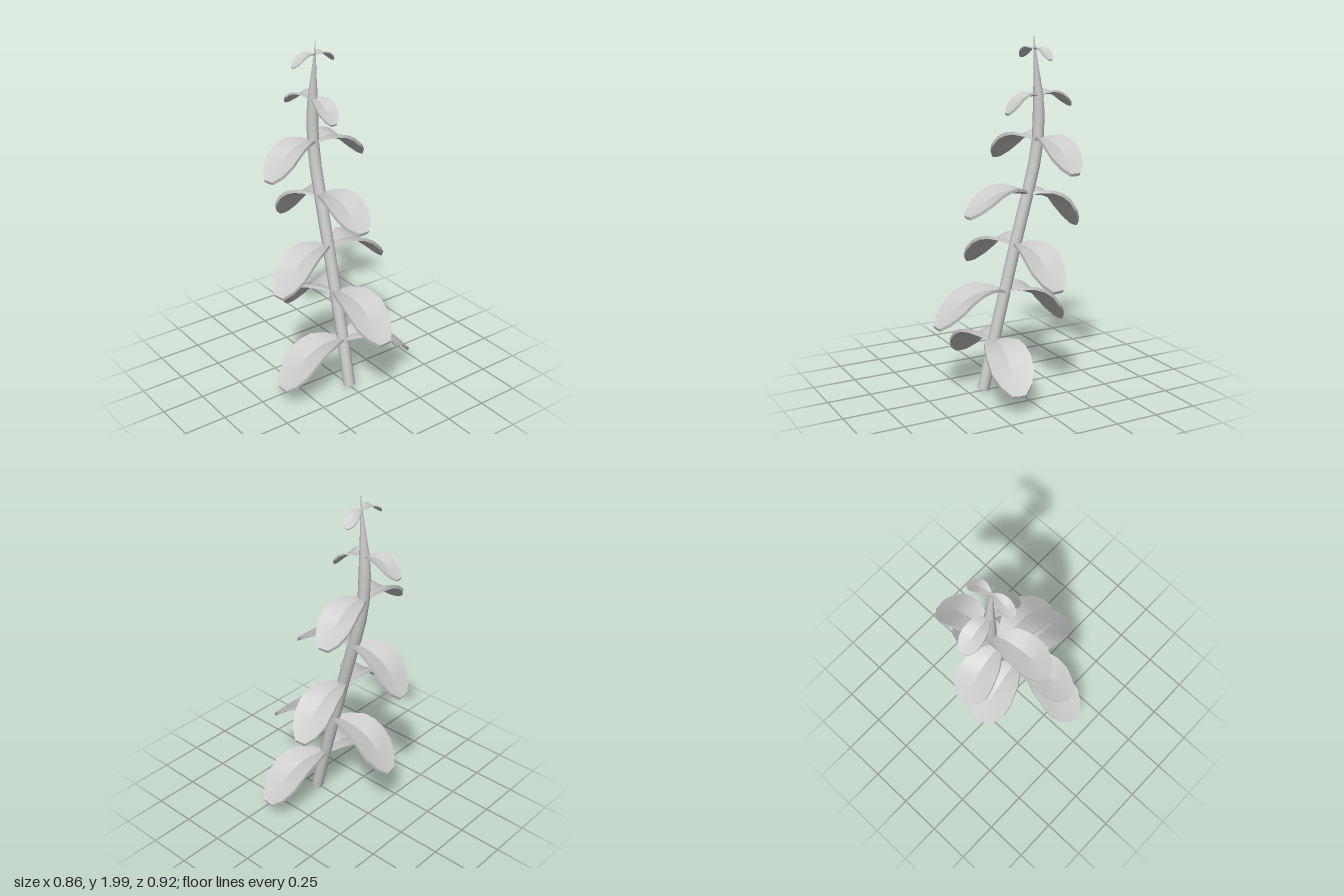
import * as THREE from 'three';
import { toCreasedNormals } from 'three/addons/utils/BufferGeometryUtils.js';

const material = new THREE.MeshStandardMaterial({ color: 0xcccccc });

// Leaf stations: distance along the chord, arch height, half-width share, fold share
const STATIONS = [
  [0, 0, 0.14, 0.15], [0.11, 0.067, 0.5, 0.7], [0.26, 0.128, 0.82, 1], [0.4, 0.148, 0.93, 1],
  [0.54, 0.139, 1, 0.9], [0.724, 0.087, 0.96, 0.65], [0.885, 0.035, 0.7, 0.35], [1, 0, 0.3, 0.1],
];

// Skins closed rings of equal size, with both ends capped
function skin(rings) {
  const n = rings[0].length, index = [], last = (rings.length - 1) * n;
  for (let i = 0; i < rings.length - 1; i++) {
    for (let j = 0; j < n; j++) {
      const a = i * n + j, b = i * n + (j + 1) % n;
      index.push(a, b, b + n, a, b + n, a + n);
    }
  }
  for (let j = 2; j < n; j++) {
    const p = 1 + j - 1, q = (1 + j) % n;
    index.push(1, q, p, last + 1, last + p, last + q);
  }
  const geometry = new THREE.BufferGeometry();
  geometry.setAttribute('position', new THREE.Float32BufferAttribute(rings.flat().flatMap((v) => v.toArray()), 3));
  geometry.setIndex(index);
  return toCreasedNormals(geometry, 0.35);
}

// Arched, thick leaf folded along its midrib, from a node on the stem to its tip
function leafGeometry(base, tip, width) {
  const chord = tip.clone().sub(base);
  const length = chord.length();
  const dir = chord.normalize();
  const side = new THREE.Vector3(0, 1, 0).cross(dir).normalize();
  const up = dir.clone().cross(side);
  const thick = Math.min(0.018, width * 0.09);
  const rings = STATIONS.map(([u, v, w, f]) => {
    const half = w * width / 2, fold = f * width * 0.12;
    const point = (s, h) => base.clone()
      .addScaledVector(dir, u * length)
      .addScaledVector(side, s)
      .addScaledVector(up, v * length + h);
    return [
      point(half, fold), point(0, 0), point(-half, fold),
      point(-half, fold - thick), point(0, -thick), point(half, fold - thick),
    ];
  });
  return skin(rings);
}

// Leaf pairs: node [y, z], width, two tips
const PAIRS = [
  [[0.295, 0.095], 0.25, [0.425, 0.12, 0.16], [-0.425, 0.115, 0.095]],
  [[0.575, 0.02], 0.25, [0.02, 0.43, 0.455], [-0.05, 0.355, -0.37]],
  [[0.84, -0.05], 0.225, [0.4, 0.66, -0.09], [-0.4, 0.675, 0.04]],
  [[1.125, -0.125], 0.225, [0.015, 1.03, 0.26], [-0.03, 0.915, -0.455]],
  [[1.425, -0.185], 0.205, [0.35, 1.28, -0.22], [-0.35, 1.295, -0.11]],
  [[1.67, -0.19], 0.125, [0, 1.575, 0.008], [-0.02, 1.605, -0.405]],
  [[1.92, -0.165], 0.075, [0.135, 1.868, -0.19], [-0.145, 1.873, -0.165]],
];

// Stem rings: y, z, radius
const STEM = [
  [0.01, 0.16, 0.034], [0.3, 0.09, 0.034], [0.575, 0.02, 0.034], [0.85, -0.05, 0.034],
  [1.125, -0.125, 0.034], [1.28, -0.165, 0.034], [1.42, -0.188, 0.033], [1.56, -0.193, 0.033],
  [1.67, -0.189, 0.028], [1.8, -0.177, 0.016], [1.92, -0.165, 0.006], [1.995, -0.16, 0.0008],
];

function stemGeometry() {
  const sides = 12;
  const rings = STEM.map(([y, z, r], i) => {
    const a = STEM[Math.max(i - 1, 0)], b = STEM[Math.min(i + 1, STEM.length - 1)];
    const tilt = Math.atan2(b[1] - a[1], b[0] - a[0]);
    return Array.from({ length: sides }, (_, j) => {
      const t = -j / sides * Math.PI * 2;
      return new THREE.Vector3(Math.cos(t) * r, 0, Math.sin(t) * r)
        .applyAxisAngle(new THREE.Vector3(1, 0, 0), tilt)
        .add(new THREE.Vector3(0, y, z));
    });
  });
  return toCreasedNormals(skin(rings), 0.7);
}

export function createModel() {
  const group = new THREE.Group();
  group.name = 'leafyStem';

  const stem = new THREE.Mesh(stemGeometry(), material);
  stem.name = 'stem';
  group.add(stem);

  // Opposite leaves, turning a quarter at each node
  PAIRS.forEach(([[y, z], width, ...tips], i) => {
    const pair = new THREE.Group();
    pair.name = `leafPair${i + 1}`;
    tips.forEach((tip, k) => {
      const leaf = new THREE.Mesh(leafGeometry(new THREE.Vector3(0, y, z), new THREE.Vector3(...tip), width), material);
      leaf.name = `leaf${i + 1}${k ? 'B' : 'A'}`;
      pair.add(leaf);
    });
    group.add(pair);
  });
  return group;
}
